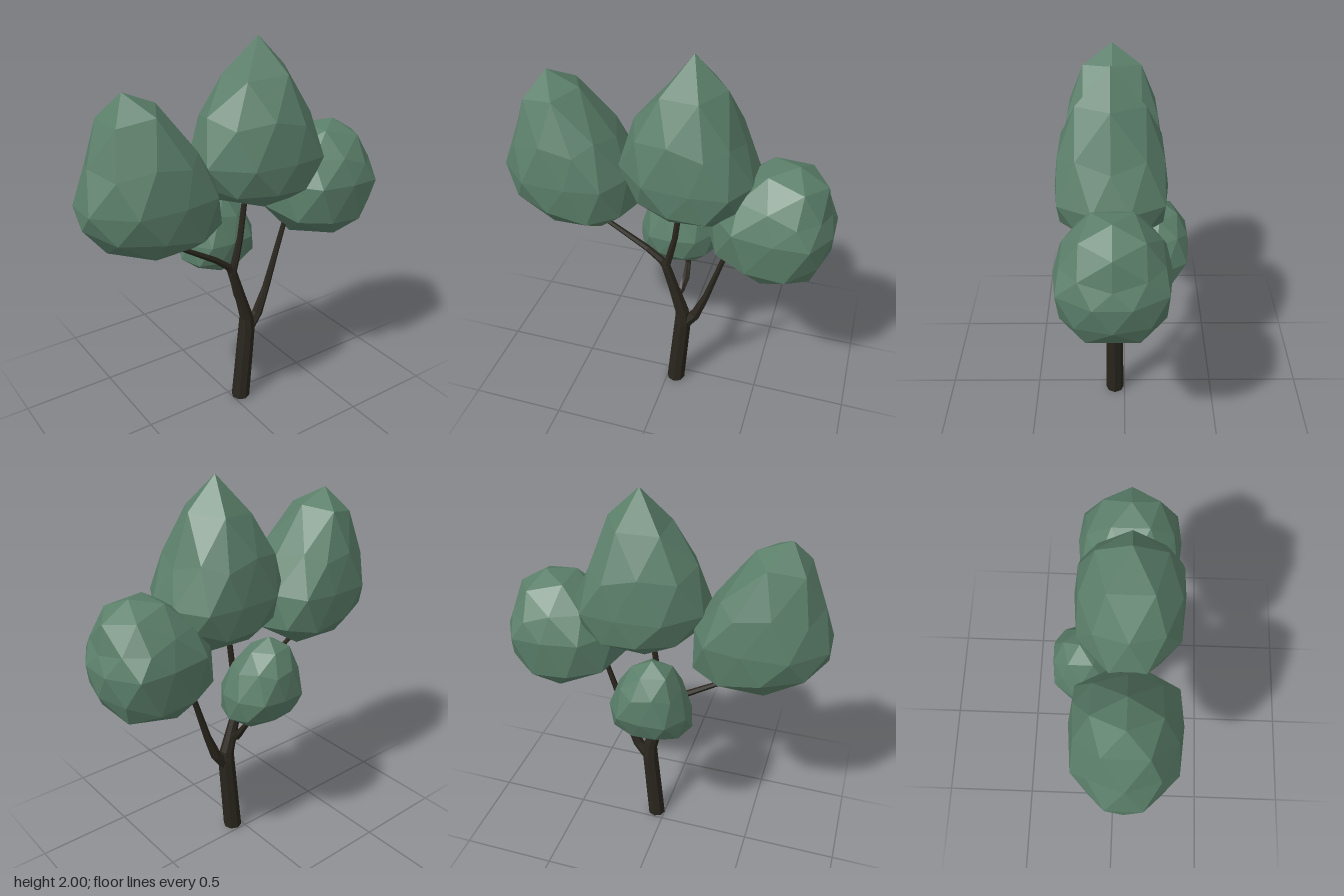
import * as THREE from 'three';

const leafMat = new THREE.MeshStandardMaterial({ color: 0x5b7f6a, flatShading: true });
const barkMat = new THREE.MeshStandardMaterial({ color: 0x2a261e, flatShading: true });

// Height levels of a 42-point icosphere and its reach to +x, -x and z at each level
const LEVELS = [1, 0.85, 0.49, 0, -0.49, -0.85, -1];
const REACH = [
  [1, 1, 1], [0.526, 0.425, 0.53], [0.894, 0.851, 0.9], [0.951, 0.951, 1],
  [0.851, 0.894, 0.9], [0.425, 0.526, 0.53], [1, 1, 1],
];

// Faceted crown: an icosphere reshaped level by level.
// Each row: left x, left y, right x, right y, half depth (poles have zero width).
// skew shifts the front and back faces along x, drop lowers their underside, lean tips the crown in z.
function crown(name, rows, { cz, skew = 0, drop = 0, lean = 0 }) {
  const keys = rows.map(([l, yl, r, yr, hz], i) => {
    const [a, b, c] = REACH[i];
    const sx = (r - l) / (a + b), tilt = (yr - yl) / (a + b);
    return [r - sx * a, sx, yr - tilt * a, tilt, hz / c];
  });
  // the poles borrow the neighbouring scale so the levels blend evenly
  for (const [p, q] of [[0, 1], [6, 5]]) for (const k of [1, 3, 4]) keys[p][k] = keys[q][k];

  const geo = new THREE.IcosahedronGeometry(1, 1);
  geo.rotateZ(-Math.atan(2 / (1 + Math.sqrt(5)))); // one corner points straight up
  const pos = geo.attributes.position;
  for (let i = 0; i < pos.count; i++) {
    const x = pos.getX(i), u = pos.getY(i), z = pos.getZ(i);
    let k = 0;
    while (k < 5 && u < LEVELS[k + 1]) k++;
    const t = THREE.MathUtils.clamp((LEVELS[k] - u) / (LEVELS[k] - LEVELS[k + 1]), 0, 1);
    const [ox, sx, oy, tilt, sz] = keys[k].map((v, j) => THREE.MathUtils.lerp(v, keys[k + 1][j], t));
    const s2 = z * z / (x * x + z * z + 1e-9);
    const boxy = 1 + 0.65 * s2 * (1 - s2); // squarer plan than a plain ellipse
    const low = u < -0.1 && u > -0.7 ? drop * z * z : 0;
    pos.setXYZ(i, ox + x * sx + skew * z * z, oy + x * tilt - low, cz + z * sz * boxy + lean * u);
  }
  geo.computeVertexNormals();
  const mesh = new THREE.Mesh(geo, leafMat);
  mesh.name = name;
  return mesh;
}

// Tapered limb through points [x, y, z, radius], closed at both ends
function limb(name, pts, sides) {
  const P = pts.map(p => new THREE.Vector3(p[0], p[1], p[2]));
  const verts = [], index = [], last = pts.length - 1;
  P.forEach((p, i) => {
    const t = P[Math.min(i + 1, last)].clone().sub(P[Math.max(i - 1, 0)]).normalize();
    const n = new THREE.Vector3(0, 0, 1).addScaledVector(t, -t.z).normalize();
    const b = t.clone().cross(n);
    for (let j = 0; j < sides; j++) {
      const a = (j / sides) * Math.PI * 2;
      const v = p.clone().addScaledVector(n, Math.cos(a) * pts[i][3]).addScaledVector(b, Math.sin(a) * pts[i][3]);
      verts.push(v.x, i === 0 && p.y === 0 ? 0 : v.y, v.z);
      if (i < last) {
        const c = i * sides + j, d = i * sides + (j + 1) % sides;
        index.push(c, d, c + sides, d, d + sides, c + sides);
      }
    }
  });
  for (let j = 1; j < sides - 1; j++) {
    const e = last * sides;
    index.push(0, j + 1, j, e, e + j, e + j + 1);
  }
  const geo = new THREE.BufferGeometry();
  geo.setAttribute('position', new THREE.Float32BufferAttribute(verts, 3));
  geo.setIndex(index);
  geo.computeVertexNormals();
  const mesh = new THREE.Mesh(geo, barkMat);
  mesh.name = name;
  return mesh;
}

export function createModel() {
  const tree = new THREE.Group();
  tree.name = 'tree';

  // Trunk and branches
  const z = 0.055;
  tree.add(
    limb('trunk', [[0.048, 0, z, 0.05], [0.085, 0.44, z, 0.045], [0.082, 0.51, z, 0.038],
      [0.037, 0.66, z, 0.029], [-0.01, 0.81, z, 0.024], [-0.016, 0.85, z, 0.015]], 8),
    limb('rightBranch', [[0.0, 0.79, z, 0.02], [-0.035, 0.845, z, 0.02], [-0.11, 0.905, z, 0.017],
      [-0.28, 1.01, z, 0.013], [-0.46, 1.12, z, 0.012]], 6),
    limb('topBranch', [[-0.012, 0.79, z, 0.02], [0.01, 0.88, z, 0.02], [0.038, 1.0, z, 0.016],
      [0.068, 1.24, z, 0.014]], 6),
    limb('leftBranch', [[0.085, 0.42, z, 0.034], [0.155, 0.51, z, 0.029], [0.21, 0.65, z, 0.02],
      [0.265, 0.83, z, 0.016], [0.33, 1.04, z, 0.013]], 6),
    limb('backBranch', [[0.045, 0.6, 0.05, 0.018], [0.06, 0.62, 0.0, 0.021], [0.072, 0.67, -0.045, 0.02],
      [0.07, 0.74, -0.095, 0.015], [0.064, 0.83, -0.1, 0.013]], 6),
  );

  // Crowns
  tree.add(
    crown('rightCrown', [
      [-0.58, 1.84, -0.58, 1.84, 0], [-0.67, 1.72, -0.42, 1.77, 0.15], [-0.76, 1.52, -0.255, 1.55, 0.235],
      [-0.815, 1.35, -0.175, 1.37, 0.26], [-0.81, 1.25, -0.155, 1.19, 0.25],
      [-0.7, 1.12, -0.32, 1.08, 0.16], [-0.5, 1.055, -0.5, 1.055, 0]], { cz: 0.06, skew: 0.07, drop: 0.04 }),
    crown('topCrown', [
      [0.125, 2, 0.125, 2, 0], [-0.01, 1.82, 0.28, 1.85, 0.155], [-0.16, 1.64, 0.37, 1.62, 0.24],
      [-0.22, 1.44, 0.43, 1.44, 0.26], [-0.18, 1.31, 0.4, 1.34, 0.25],
      [-0.09, 1.235, 0.25, 1.2, 0.16], [0.06, 1.185, 0.06, 1.185, 0]], { cz: 0.06, skew: 0.07, drop: 0.04 }),
    crown('leftCrown', [
      [0.62, 1.525, 0.62, 1.525, 0], [0.49, 1.5, 0.76, 1.44, 0.14], [0.34, 1.4, 0.79, 1.31, 0.225],
      [0.235, 1.26, 0.81, 1.23, 0.26], [0.2, 1.11, 0.8, 1.11, 0.245],
      [0.36, 0.95, 0.73, 0.985, 0.18], [0.54, 0.915, 0.54, 0.915, 0]], { cz: 0.052, skew: 0.04, drop: 0.09 }),
    crown('backCrown', [
      [-0.005, 1.245, -0.005, 1.245, 0], [-0.09, 1.19, 0.1, 1.19, 0.09], [-0.145, 1.09, 0.165, 1.1, 0.155],
      [-0.185, 0.95, 0.21, 0.965, 0.18], [-0.205, 0.85, 0.21, 0.85, 0.155],
      [-0.11, 0.785, 0.11, 0.785, 0.09], [0, 0.77, 0, 0.77, 0]], { cz: -0.145, lean: -0.03 }),
  );
  return tree;
}
